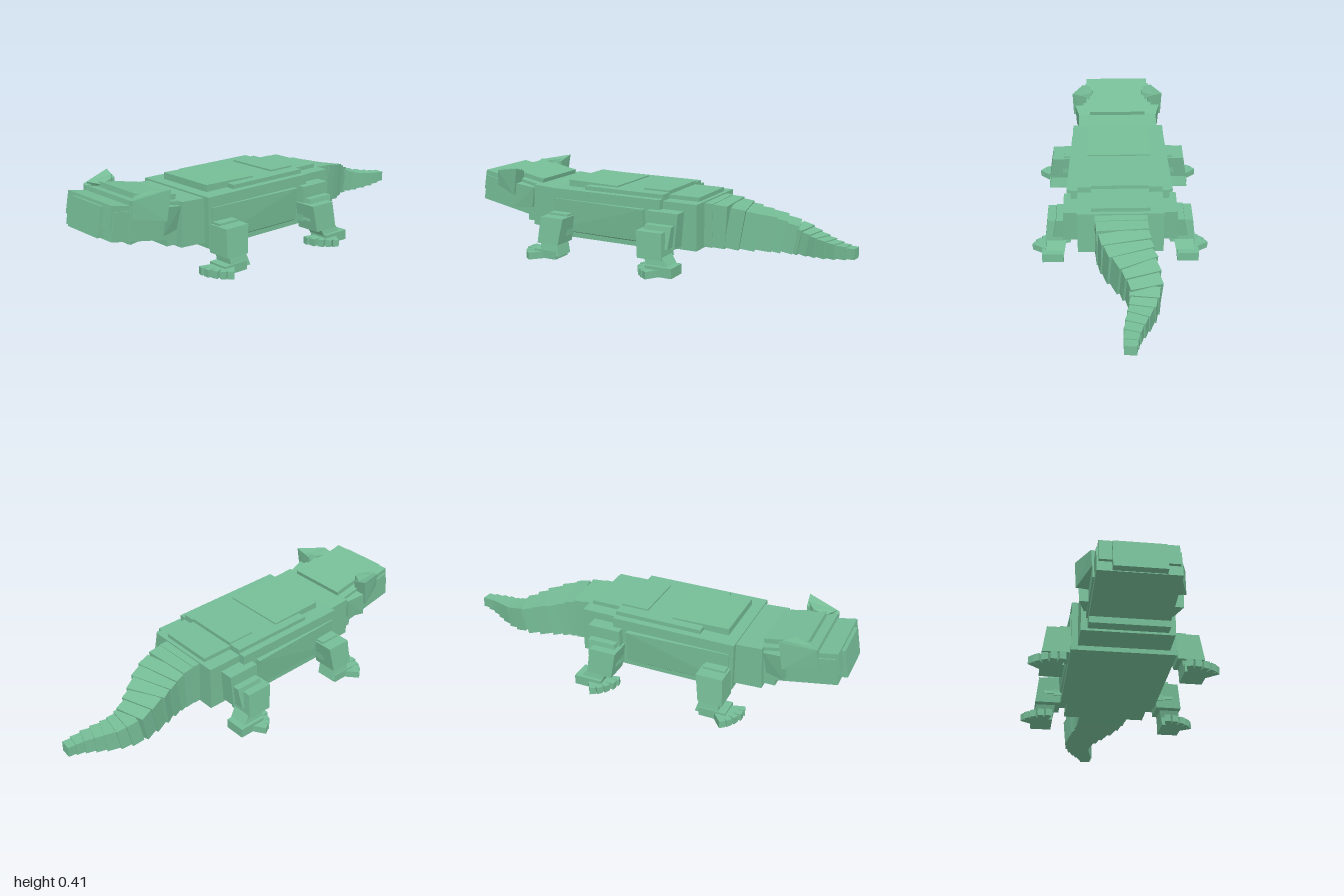
import * as THREE from 'three';
import { ConvexGeometry } from 'three/addons/geometries/ConvexGeometry.js';

export function createModel() {
  const model = new THREE.Group();
  model.name = 'lizard';
  const skin = new THREE.MeshStandardMaterial({ color: 0x76bd97 });
  skin.name = 'greenSkin';

  const add = (parent, name, geometry) => {
    const mesh = new THREE.Mesh(geometry, skin);
    mesh.name = name;
    parent.add(mesh);
    return mesh;
  };
  // Box from its limits on each axis
  const box = (parent, name, x0, x1, y0, y1, z0, z1) => {
    const mesh = add(parent, name, new THREE.BoxGeometry(x1 - x0, y1 - y0, z1 - z0));
    mesh.position.set((x0 + x1) / 2, (y0 + y1) / 2, (z0 + z1) / 2);
    return mesh;
  };
  // Tapered block from corner points, mirrored by side
  const block = (parent, name, side, points) =>
    add(parent, name, new ConvexGeometry(points.map(([x, y, z]) => new THREE.Vector3(x * side, y, z))));
  // Tapered limb between two rectangles [x0, x1, z0, z1] at heights y0 and y1
  const limb = (parent, name, side, y0, a, y1, b) => block(parent, name, side,
    [[y0, a], [y1, b]].flatMap(([y, [x0, x1, z0, z1]]) =>
      [[x0, y, z0], [x1, y, z0], [x0, y, z1], [x1, y, z1]]));

  // Trunk with stepped back plates
  box(model, 'trunk', -0.24, 0.24, 0.10, 0.34, -0.12, 0.5);
  box(model, 'hips', -0.207, 0.207, 0.105, 0.33, -0.3, -0.1);
  box(model, 'neck', -0.21, 0.21, 0.125, 0.335, 0.48, 0.63).rotation.x = -0.05;
  box(model, 'throat', -0.18, 0.18, 0.14, 0.3, 0.6, 0.69);
  const frontPlate = box(model, 'frontBackPlate', -0.16, 0.16, 0.325, 0.37, 0.16, 0.445);
  frontPlate.rotation.x = -0.02;
  box(model, 'middleBackPlate', -0.205, 0.205, 0.32, 0.36, -0.12, 0.32);
  box(model, 'rearBackPlate', -0.14, 0.14, 0.31, 0.368, -0.12, 0.02);
  box(model, 'hipPlate', -0.14, 0.14, 0.31, 0.35, -0.28, -0.1);

  // Head, pitched upward
  const head = new THREE.Group();
  head.name = 'head';
  head.position.set(0, 0.165, 0.66);
  head.rotation.x = -0.185;
  model.add(head);
  box(head, 'jaw', -0.18, 0.18, 0, 0.13, 0, 0.325);
  box(head, 'snout', -0.172, 0.172, 0.05, 0.155, 0.1, 0.338);
  box(head, 'nose', -0.115, 0.115, 0.004, 0.142, 0.3, 0.355);
  box(head, 'skull', -0.187, 0.187, 0.03, 0.176, -0.02, 0.247);
  box(head, 'crownPlate', -0.15, 0.15, 0.16, 0.2, -0.012, 0.2);

  // Splayed foot: pad and a fan of toes
  const foot = (parent, side, y, pad, root, tips) => {
    box(parent, 'footPad', ...(side > 0 ? [pad[0], pad[1]] : [-pad[1], -pad[0]]), 0.012, y, pad[2], pad[3]);
    for (const [x, z] of tips) {
      const dx = (x - root[0]) * side, dz = z - root[1];
      const length = Math.hypot(dx, dz);
      const toe = add(parent, 'toe', new THREE.BoxGeometry(0.03, 0.035, length));
      toe.position.set(root[0] * side + dx / 2, 0.027, root[1] + dz / 2);
      toe.rotation.y = Math.atan2(dx, dz);
    }
  };

  for (const side of [1, -1]) {
    const label = side > 0 ? 'left' : 'right';
    // Flared brow and cheek
    block(head, label + 'Brow', side, [
      [0.17, 0.175, 0.25], [0.193, 0.18, 0.25], [0.17, 0.10, 0.24], [0.188, 0.10, 0.24],
      [0.17, 0.215, 0.10], [0.247, 0.241, 0.096], [0.17, 0.09, 0.093], [0.243, 0.10, 0.093]]);
    block(head, label + 'BrowRidge', side, [
      [0.13, 0.19, 0.2], [0.18, 0.19, 0.24], [0.14, 0.214, 0.14],
      [0.2, 0.225, 0.1], [0.14, 0.17, 0.12], [0.19, 0.17, 0.23]]);
    block(head, label + 'Cheek', side, [
      [0.17, 0.03, 0.09], [0.228, 0.03, 0.09], [0.17, 0.16, 0.1], [0.235, 0.16, 0.1],
      [0.17, 0.05, 0], [0.2, 0.05, 0], [0.17, 0.16, 0], [0.21, 0.16, 0]]);
    // Flank panel, widening to the rear
    block(model, label + 'Flank', side, [
      [0.22, 0.11, 0.48], [0.243, 0.13, 0.48], [0.22, 0.29, 0.48], [0.246, 0.29, 0.48],
      [0.22, 0.11, -0.04], [0.25, 0.13, -0.04], [0.22, 0.29, -0.04], [0.264, 0.29, -0.04]]);

    // Front leg
    const front = new THREE.Group();
    front.name = label + 'FrontLeg';
    model.add(front);
    limb(front, 'upperLeg', side, 0.12, [0.2, 0.30, 0.37, 0.48], 0.225, [0.2, 0.29, 0.37, 0.48]);
    limb(front, 'lowerLeg', side, 0.085, [0.245, 0.37, 0.38, 0.5], 0.215, [0.23, 0.35, 0.36, 0.49]);
    limb(front, 'ankle', side, 0.03, [0.275, 0.375, 0.37, 0.48], 0.1, [0.265, 0.36, 0.39, 0.485]);
    foot(front, side, 0.054, [0.27, 0.375, 0.39, 0.52], [0.32, 0.44],
      [[0.28, 0.585], [0.32, 0.585], [0.36, 0.57], [0.395, 0.55], [0.42, 0.525]]);

    // Rear leg
    const rear = new THREE.Group();
    rear.name = label + 'RearLeg';
    model.add(rear);
    limb(rear, 'hip', side, 0.12, [0.18, 0.28, -0.22, -0.06], 0.292, [0.18, 0.275, -0.235, -0.07]);
    limb(rear, 'thigh', side, 0.13, [0.2, 0.33, -0.21, -0.06], 0.235, [0.2, 0.31, -0.22, -0.08]);
    limb(rear, 'lowerLeg', side, 0.085, [0.245, 0.37, -0.2, -0.07], 0.212, [0.235, 0.355, -0.19, -0.055]);
    limb(rear, 'ankle', side, 0.03, [0.28, 0.375, -0.25, -0.13], 0.1, [0.265, 0.36, -0.2, -0.1]);
    foot(rear, side, 0.06, [0.28, 0.385, -0.26, -0.12], [0.335, -0.2],
      [[0.43, -0.14], [0.41, -0.11], [0.38, -0.085], [0.34, -0.065], [0.3, -0.06]]);
  }

  // Curved tail of tapering segments: [z, centre x, width, bottom, top]
  const tailSections = [
    [-0.27, 0, 0.25, 0.108, 0.325], [-0.38, -0.003, 0.245, 0.112, 0.318],
    [-0.48, -0.025, 0.22, 0.108, 0.29], [-0.58, -0.075, 0.175, 0.098, 0.262],
    [-0.68, -0.103, 0.14, 0.09, 0.222], [-0.76, -0.092, 0.115, 0.087, 0.192],
    [-0.84, -0.06, 0.092, 0.09, 0.175], [-0.92, -0.035, 0.068, 0.1, 0.163],
    [-1.0, -0.028, 0.05, 0.11, 0.155]];
  const sample = (t) => {
    const f = t * (tailSections.length - 1);
    const i = Math.min(Math.floor(f), tailSections.length - 2);
    return tailSections[i].map((v, k) => THREE.MathUtils.lerp(v, tailSections[i + 1][k], f - i));
  };
  const count = 14;
  for (let i = 0; i < count; i++) {
    const a = sample(i / count), b = sample((i + 1) / count), m = sample((i + 0.4) / count);
    const start = new THREE.Vector3(a[1], (a[3] + a[4]) / 2, a[0]);
    const end = new THREE.Vector3(b[1], (b[3] + b[4]) / 2, b[0]);
    const overlap = i < count - 1 ? 0.012 : 0;
    const length = start.distanceTo(end) + overlap;
    const segment = add(model, 'tailSegment', new THREE.BoxGeometry(m[2], m[4] - m[3], length));
    segment.position.copy(start).add(end).multiplyScalar(0.5);
    segment.lookAt(start);
  }
  return model;
}
